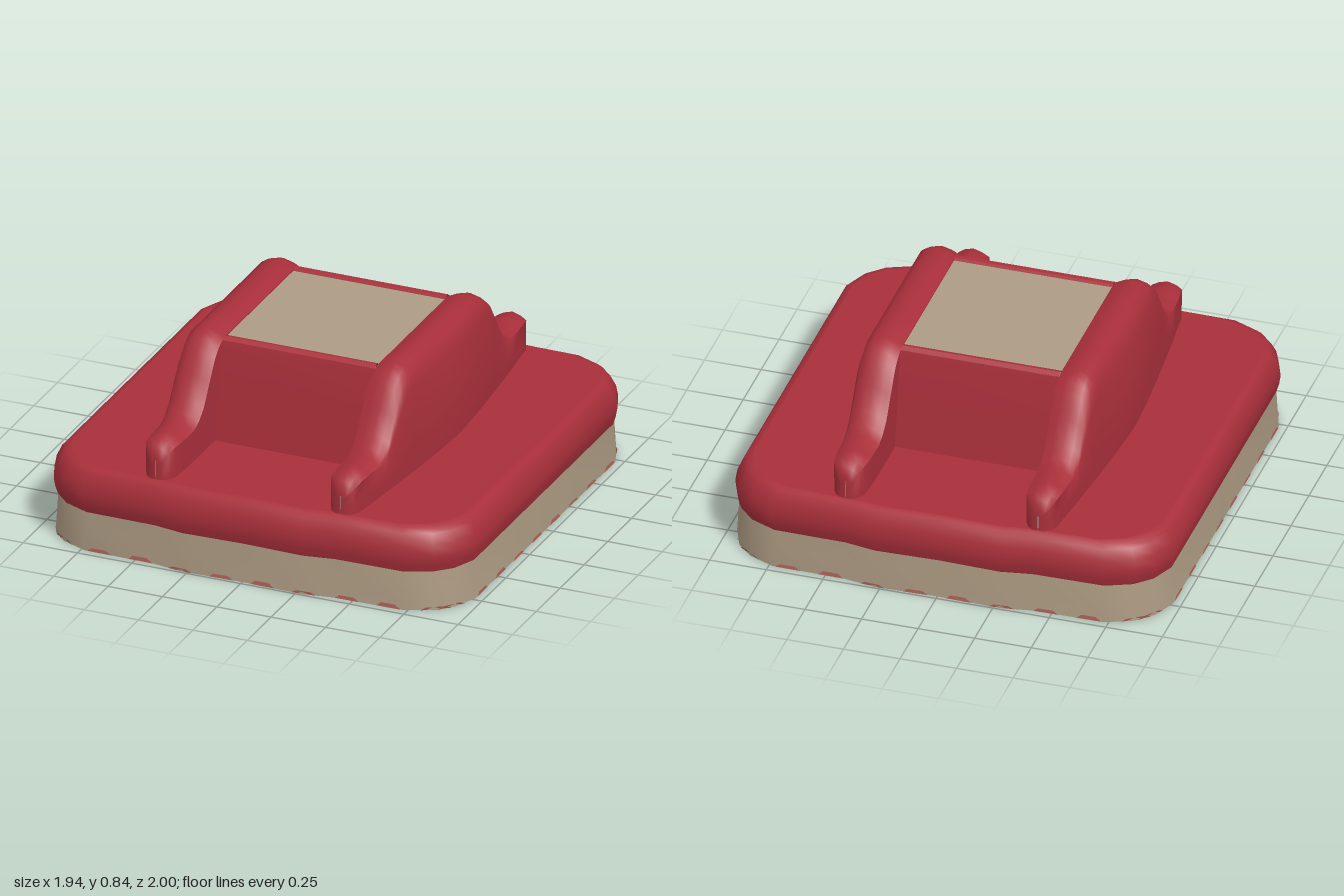
import * as THREE from 'three';
import { toCreasedNormals } from 'three/addons/utils/BufferGeometryUtils.js';

const DECK = 0.37;

// Skin a surface over rows of [x, y, z] points
function loft(rows, crease = 0.7) {
  const n = rows[0].length, index = [];
  for (let i = 0; i < rows.length - 1; i++) {
    for (let j = 0; j < n - 1; j++) {
      const a = i * n + j, b = a + 1, c = a + n, d = c + 1;
      index.push(a, b, c, b, d, c);
    }
  }
  const g = new THREE.BufferGeometry();
  g.setAttribute('position', new THREE.Float32BufferAttribute(rows.flat(2), 3));
  g.setIndex(index);
  return toCreasedNormals(g, crease);
}

// Mirror a quarter outline of [x, z] points into a full ring
function ring(quarter) {
  const half = [...quarter, ...quarter.map(([x, z]) => [x, -z]).reverse()];
  const full = [...half, ...half.map(([x, z]) => [-x, z]).reverse()];
  return full.filter((p, i) => {
    const q = full[(i + 1) % full.length];
    return Math.hypot(p[0] - q[0], p[1] - q[1]) > 1e-5;
  });
}

// Base outline, with a slight swell in the middle of front and back
const baseQuarter = [[0, 0.99], [0.28, 0.998], [0.42, 0.974], [0.74, 0.97],
  [0.855, 0.92], [0.925, 0.85], [0.97, 0.74], [0.97, 0]];
const outline = ring(baseQuarter);

function band(levels) {
  const closed = [...outline, outline[0]];
  return loft(levels.map(([y, k]) => closed.map(([x, z]) => [x * k, y, z * k])));
}

// Fin stations: distance from the middle, crest height, width factor
const stations = [[0, 0.84, 1], [0.2, 0.84, 1], [0.37, 0.84, 1], [0.4, 0.83, 1],
  [0.435, 0.812, 1], [0.47, 0.78, 1], [0.53, 0.69, 1], [0.59, 0.6, 1], [0.64, 0.56, 1],
  [0.69, 0.54, 1], [0.8, 0.54, 0.98], [0.87, 0.538, 0.88], [0.9, 0.515, 0.66],
  [0.918, 0.48, 0.35], [0.92, 0.46, 0.02]];
const MID = 0.425;
const narrow = (x, w) => MID + (x - MID) * w;
const outerFoot = (z) => 0.565 - 0.065 * Math.min(1, z / 0.8) ** 1.3;

// Inner foot of a fin sits on the deck, or on the cabin wall where they meet
function innerFoot(z) {
  if (z >= 0.47) return DECK;
  if (z <= 0.4) return 0.78;
  return DECK + (0.78 - DECK) * (0.47 - z) / 0.07;
}

function fin(side) {
  const all = [...stations.slice(1).reverse().map(([z, h, w]) => [-z, h, w]), ...stations];
  if (side > 0) all.reverse();
  return loft(all.map(([z, h, w]) => {
    const a = Math.abs(z), foot = outerFoot(a), rise = h - DECK;
    const r = Math.min(0.03, rise * 0.3);
    return [
      [0.35, innerFoot(a)], [0.35, Math.max(innerFoot(a), h - r)],
      [0.385, h - r * 0.4], [0.43, h], [0.475, h - r * 0.4], [0.503, h - r],
      [(0.503 + foot) / 2, h - rise * 0.2],
      [foot, DECK + rise * 0.28], [foot, DECK],
    ].map(([x, y]) => [side * narrow(x, w), y, z]);
  }), 0.9);
}

// Deck with an opening under the cabin and fins
function deckGeometry(k) {
  const inner = stations.filter(([z]) => z >= 0.47).map(([z, , w]) => [narrow(0.35, w), z]);
  const outer = stations.map(([z, , w]) => [narrow(outerFoot(z), w), z]).reverse();
  const shape = new THREE.Shape(outline.map(([x, z]) => new THREE.Vector2(x * k, z * k)));
  shape.holes.push(new THREE.Path(ring([...inner, ...outer]).map(([x, z]) => new THREE.Vector2(x, z))));
  return new THREE.ShapeGeometry(shape).rotateX(-Math.PI / 2).translate(0, DECK, 0);
}

// Sloping cabin wall with a rounded rim along the top
function cabinWall(side) {
  const profile = [[0.47, DECK], [0.435, 0.575], [0.4, 0.78], [0.393, 0.805],
    [0.375, 0.818], [0.358, 0.815], [0.348, 0.8]];
  return loft(profile.map(([z, y]) => [[-side * 0.35, y, side * z], [side * 0.35, y, side * z]]), 0.6);
}

// Distance of the base edge at position t along one side
function edgeAt(t, points) {
  const a = Math.abs(t);
  for (let i = 0; i < points.length - 1; i++) {
    const [p, q] = points[i], [r, s] = points[i + 1];
    if (a >= p && a <= r && r > p) return q + (s - q) * (a - p) / (r - p);
  }
  return points[points.length - 1][1];
}

// Small wear marks along the bottom hem of one side
function hemMarks(turned, sign) {
  const points = turned ? baseQuarter.map(([x, z]) => [z, x]).reverse() : baseQuarter;
  const pos = [];
  for (let i = 0; i < 10; i++) {
    const t = -0.855 + i * 0.19, h = 0.014 + 0.006 * ((i * 7) % 3) / 2;
    const at = (u, y) => {
      const d = sign * (edgeAt(u, points) * 0.993 + 0.003);
      return turned ? [d, y, -sign * u] : [sign * u, y, d];
    };
    const a = at(t - 0.055, 0.001), b = at(t + 0.055, 0.001);
    const c = at(t + 0.03, h), d = at(t - 0.035, h);
    pos.push(...a, ...b, ...c, ...a, ...c, ...d);
  }
  const g = new THREE.BufferGeometry();
  g.setAttribute('position', new THREE.Float32BufferAttribute(pos, 3));
  g.computeVertexNormals();
  return g;
}

export function createModel() {
  const material = (name, color) => {
    const m = new THREE.MeshStandardMaterial({ color, side: THREE.DoubleSide });
    m.name = name;
    return m;
  };
  const red = material('red', 0xa82f3a);
  const beige = material('beige', 0xad9b83);
  const rust = material('rust', 0xb4655a);

  const model = new THREE.Group();
  model.name = 'finnedCover';
  const add = (name, geometry, mat) => {
    const mesh = new THREE.Mesh(geometry, mat);
    mesh.name = name;
    model.add(mesh);
  };

  // Hollow base
  add('skirt', band([[0, 0.993], [0.175, 0.984]]), beige);
  add('roundedLip', band([[0.175, 0.984], [0.21, 0.994], [0.25, 1], [0.3, 0.992],
    [0.345, 0.973], [0.362, 0.957], [DECK, 0.935]]), red);
  add('deck', deckGeometry(0.935), red);

  // Fins, cabin walls and hem marks in mirrored pairs
  for (const side of [1, -1]) {
    add(side > 0 ? 'leftFin' : 'rightFin', fin(side), red);
    add(side > 0 ? 'frontCabinWall' : 'backCabinWall', cabinWall(side), red);
    add(side > 0 ? 'frontHemMarks' : 'backHemMarks', hemMarks(false, side), rust);
    add(side > 0 ? 'leftHemMarks' : 'rightHemMarks', hemMarks(true, side), rust);
  }

  // Flat roof panel between the rims
  add('roofPanel', new THREE.PlaneGeometry(0.7, 0.7).rotateX(-Math.PI / 2).translate(0, 0.805, 0), beige);
  return model;
}
